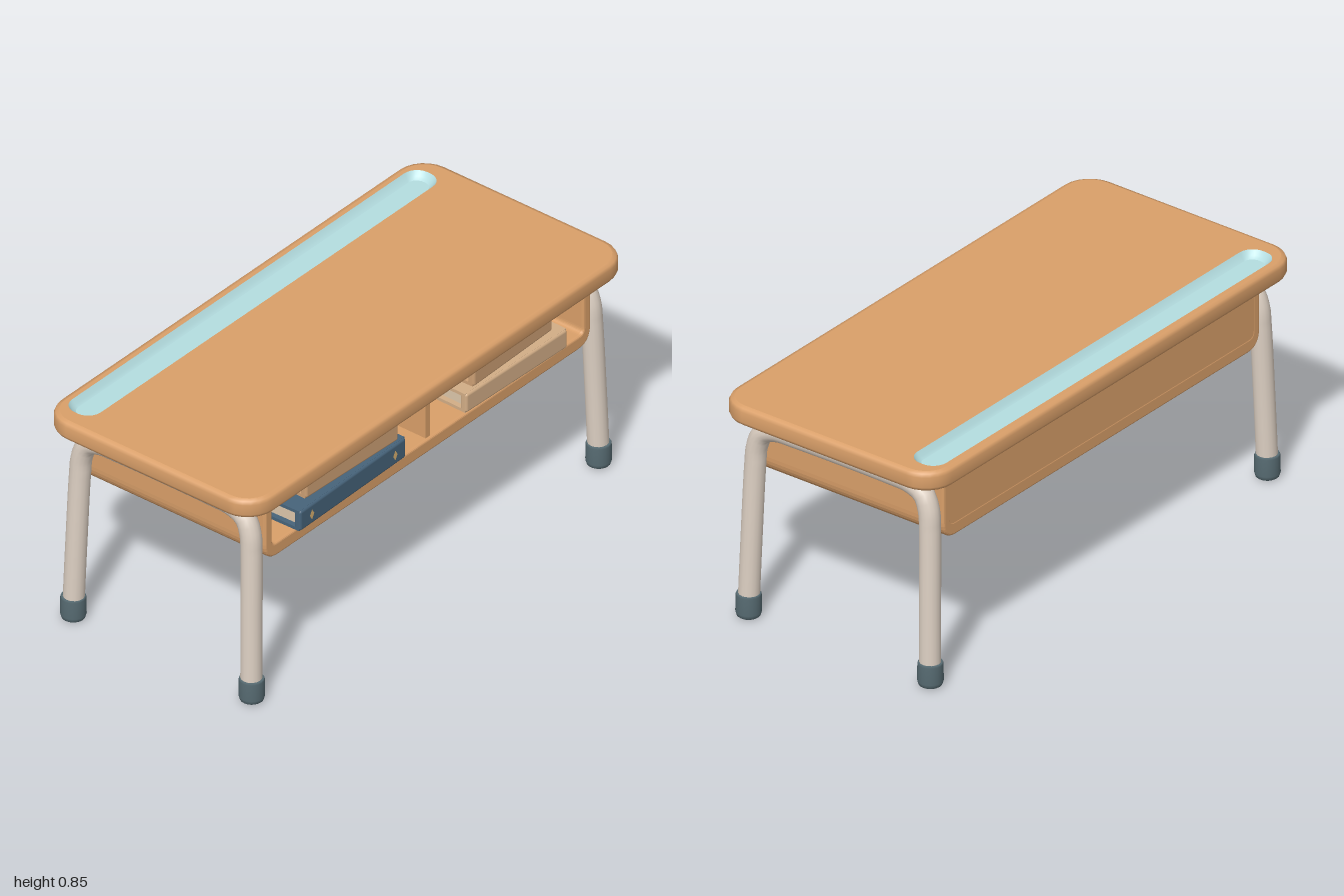
import * as THREE from 'three';
import { RoundedBoxGeometry } from 'three/addons/geometries/RoundedBoxGeometry.js';

const mat = (name, color) => Object.assign(new THREE.MeshStandardMaterial({ color }), { name });

// Rounded rectangle in the xz plane, as [x, z] points
function loop(w, d, r, cz = 0) {
  const pts = [], n = 6;
  for (let c = 0; c < 4; c++) {
    const sx = c === 0 || c === 3 ? 1 : -1, sz = c < 2 ? 1 : -1;
    for (let i = 0; i <= n; i++) {
      const a = (c + i / n) * Math.PI / 2;
      pts.push([sx * (w - r) + r * Math.cos(a), cz + sz * (d - r) + r * Math.sin(a)]);
    }
  }
  return pts;
}

// Skin between stacked loops of equal point count
function loft(rings) {
  const pos = [], idx = [], n = rings[0].pts.length;
  rings.forEach(({ pts, y }) => pts.forEach(([x, z]) => pos.push(x, y, z)));
  for (let j = 0; j < rings.length - 1; j++) {
    for (let i = 0; i < n; i++) {
      const a = j * n + i, b = j * n + (i + 1) % n;
      idx.push(a, a + n, b, b, a + n, b + n);
    }
  }
  const g = new THREE.BufferGeometry();
  g.setAttribute('position', new THREE.Float32BufferAttribute(pos, 3));
  g.setIndex(idx);
  g.computeVertexNormals();
  return g;
}

// Flat horizontal face, facing up or down
function flat(pts, y, hole, down = false) {
  const s = down ? 1 : -1;
  const v = p => p.map(([x, z]) => new THREE.Vector2(x, s * z));
  const shape = new THREE.Shape(v(pts));
  if (hole) shape.holes.push(new THREE.Path(v(hole)));
  return new THREE.ShapeGeometry(shape).rotateX(s * Math.PI / 2).translate(0, y, 0);
}

// Storage box outline: square top, rounded lower corners
function binOutline(Type, w, y0, y1, r) {
  const s = new Type();
  s.moveTo(-w, y1);
  s.lineTo(-w, y0 + r);
  s.quadraticCurveTo(-w, y0, -w + r, y0);
  s.lineTo(w - r, y0);
  s.quadraticCurveTo(w, y0, w, y0 + r);
  s.lineTo(w, y1);
  s.closePath();
  return s;
}

export function createModel() {
  const root = new THREE.Group();
  root.name = 'schoolDesk';
  const wood = mat('wood', 0xd99f69), metal = mat('paintedMetal', 0xdccfc2);
  const rubber = mat('rubber', 0x566a71), trayBlue = mat('trayBlue', 0xb4dde0);
  const navy = mat('navyCover', 0x46637a), tan = mat('tanCover', 0xcc9f74);
  const beige = mat('beigeCover', 0xd2ad86), paper = mat('paper', 0xdcc6aa);
  const gold = mat('gold', 0xd8b070);

  const add = (name, geometry, material, parent = root) => {
    const m = new THREE.Mesh(geometry, material);
    m.name = name;
    parent.add(m);
    return m;
  };

  // Desktop slab with rounded rim and a pencil groove opening
  const slab = inset => loop(1 - inset, 0.46 - inset, 0.11 - inset);
  const groove = loop(0.93, 0.062, 0.055, -0.362);
  const rim = [[0.02, 0.773], [0.006, 0.778], [0, 0.79], [0, 0.828], [0.006, 0.84], [0.02, 0.845]];
  add('desktopRim', loft(rim.map(([i, y]) => ({ pts: slab(i), y }))), wood);
  add('desktopTop', flat(slab(0.02), 0.845, groove), wood);
  add('desktopUnderside', flat(slab(0.02), 0.773, null, true), wood);

  // Sunken pencil tray
  const trayFloor = loop(0.905, 0.04, 0.036, -0.362);
  add('pencilTrayWall', loft([
    { pts: groove, y: 0.845 },
    { pts: loop(0.918, 0.05, 0.045, -0.362), y: 0.828 },
    { pts: trayFloor, y: 0.82 },
  ]), trayBlue);
  add('pencilTrayFloor', flat(trayFloor, 0.82), trayBlue);

  // Open-fronted storage box with back panel and divider
  const frame = binOutline(THREE.Shape, 0.85, 0.535, 0.775, 0.06);
  frame.holes.push(binOutline(THREE.Path, 0.828, 0.572, 0.768, 0.03));
  add('storageBox', new THREE.ExtrudeGeometry(frame, {
    depth: 0.78, bevelThickness: 0.01, bevelSize: 0.008, bevelSegments: 3, curveSegments: 8,
  }).translate(0, 0, -0.39), wood);
  add('storageBack', new THREE.ExtrudeGeometry(binOutline(THREE.Shape, 0.845, 0.54, 0.774, 0.055), {
    depth: 0.025, bevelEnabled: false, curveSegments: 8,
  }).translate(0, 0, -0.399), wood);
  add('storageDivider', new THREE.BoxGeometry(0.022, 0.2, 0.76).translate(0.01, 0.673, 0.01), wood);

  // Inverted-U tube legs with rubber tips, one frame per side
  const tipProfile = [[0, 0], [0.034, 0.001], [0.041, 0.006], [0.045, 0.02], [0.044, 0.084], [0.041, 0.09], [0, 0.09]]
    .map(p => new THREE.Vector2(...p));
  for (const s of [1, -1]) {
    const legs = new THREE.Group();
    legs.name = s > 0 ? 'leftLegFrame' : 'rightLegFrame';
    root.add(legs);
    const half = [[0.915, 0.05, 0.386], [0.907, 0.3, 0.38], [0.897, 0.58, 0.372],
      [0.895, 0.65, 0.366], [0.893, 0.705, 0.342], [0.892, 0.73, 0.29], [0.892, 0.735, 0.2]];
    const path = [...half, ...half.slice().reverse().map(([x, y, z]) => [x, y, -z])]
      .map(([x, y, z]) => new THREE.Vector3(s * x, y, z));
    add('legTube', new THREE.TubeGeometry(new THREE.CatmullRomCurve3(path), 80, 0.0375, 16), metal, legs);
    for (const z of [0.387, -0.387]) {
      add('legTip', new THREE.LatheGeometry(tipProfile, 20).translate(s * 0.914, 0, z), rubber, legs);
    }
  }

  // Books: two covers, a spine facing the front, and a page block
  function book(name, x, y, w, h, z, depth, turn, cover) {
    const g = new THREE.Group();
    g.name = name;
    g.position.set(x, y, z);
    g.rotation.y = turn;
    root.add(g);
    const t = 0.012;
    for (const cy of [t / 2, h - t / 2]) {
      add('cover', new THREE.BoxGeometry(w, t, depth).translate(0, cy, -depth / 2), cover, g);
    }
    add('spine', new RoundedBoxGeometry(w, h, 0.03, 3, 0.01).translate(0, h / 2, -0.008), cover, g);
    add('pages', new THREE.BoxGeometry(w - 0.04, h - 2 * t, depth - 0.03).translate(0, h / 2, -depth / 2), paper, g);
    return g;
  }
  const navyBook = book('navyBook', -0.415, 0.58, 0.57, 0.08, 0.41, 0.36, 0.02, navy);
  book('tanBook', -0.395, 0.662, 0.47, 0.073, 0.39, 0.32, -0.03, tan);
  book('beigeBook', 0.46, 0.58, 0.52, 0.075, 0.4, 0.36, -0.02, beige);
  book('smallTanBook', 0.465, 0.657, 0.43, 0.08, 0.38, 0.32, 0.03, tan);

  // Small diamond ornaments on the navy spine
  for (const x of [-0.225, 0.225]) {
    add('spineOrnament', new THREE.CircleGeometry(0.02, 4).scale(0.6, 1, 1).translate(x, 0.04, 0.0085), gold, navyBook);
  }
  return root;
}
